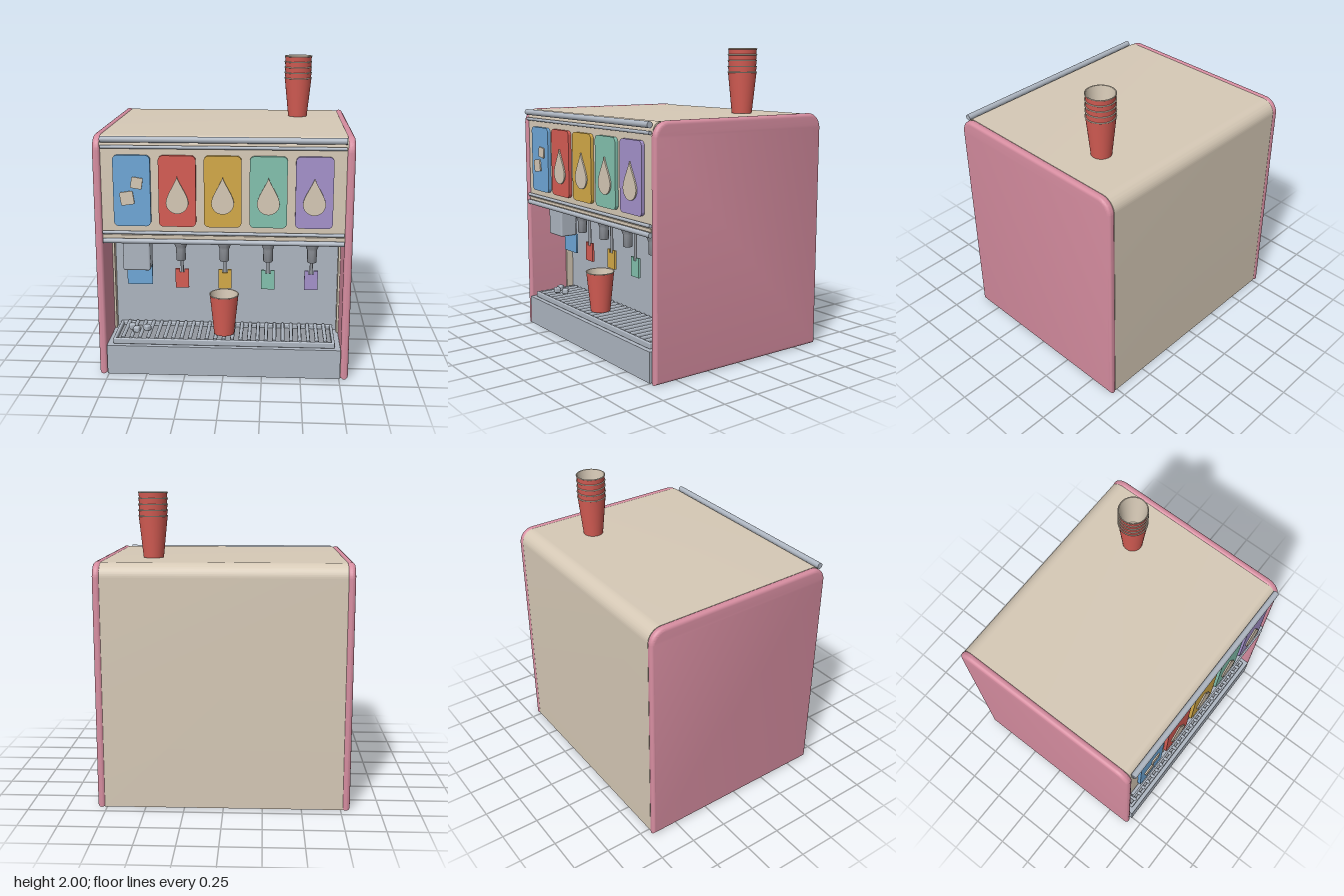
import * as THREE from 'three';
import { toCreasedNormals } from 'three/addons/utils/BufferGeometryUtils.js';
import { RoundedBoxGeometry } from 'three/addons/geometries/RoundedBoxGeometry.js';

const mat = (name, color, side = THREE.FrontSide) => {
  const m = new THREE.MeshStandardMaterial({ color, side });
  m.name = name;
  return m;
};

export function createModel() {
  const root = new THREE.Group();
  root.name = 'drinkDispenser';

  const cream = mat('cream', 0xd6c9b6, THREE.DoubleSide);
  const pink = mat('pink', 0xd58c9f);
  const steel = mat('steel', 0xaeb6c1);
  const darkSteel = mat('darkSteel', 0x94989f);
  const blue = mat('blue', 0x6fa8d8);
  const red = mat('red', 0xd65d54);
  const yellow = mat('yellow', 0xd4aa48);
  const teal = mat('teal', 0x84c2af);
  const purple = mat('purple', 0xa592cc);
  const flavours = [blue, red, yellow, teal, purple];

  const add = (name, geo, material, x = 0, y = 0, z = 0, parent = root) => {
    const mesh = new THREE.Mesh(geo, material);
    mesh.name = name;
    mesh.position.set(x, y, z);
    parent.add(mesh);
    return mesh;
  };
  const box = (w, h, d) => new THREE.BoxGeometry(w, h, d);

  // rounded rectangle from corner (x0, y0) to (x1, y1), with bottom and top radii
  const roundRect = (x0, y0, x1, y1, rb, rt) => {
    const s = new THREE.Shape();
    s.moveTo(x0 + rb, y0).lineTo(x1 - rb, y0);
    if (rb) s.absarc(x1 - rb, y0 + rb, rb, -Math.PI / 2, 0);
    s.lineTo(x1, y1 - rt).absarc(x1 - rt, y1 - rt, rt, 0, Math.PI / 2);
    s.lineTo(x0 + rt, y1).absarc(x0 + rt, y1 - rt, rt, Math.PI / 2, Math.PI);
    s.lineTo(x0, y0 + rb);
    if (rb) s.absarc(x0 + rb, y0 + rb, rb, Math.PI, Math.PI * 1.5);
    return s;
  };
  const plate = (shape, depth, bevel = 0) => toCreasedNormals(new THREE.ExtrudeGeometry(shape, {
    depth, curveSegments: 12, bevelEnabled: bevel > 0, bevelThickness: bevel, bevelSize: bevel, bevelSegments: 5,
  }), 0.6);
  // profile drawn in (z, y), extruded across x and centred
  const across = (shape, depth, bevel) =>
    plate(shape, depth, bevel).translate(0, 0, -depth / 2).rotateY(-Math.PI / 2);

  // body with the serving recess cut into the front
  const profile = new THREE.Shape();
  profile.moveTo(-0.68, 0.002).lineTo(0.65, 0.002).lineTo(0.65, 0.195).lineTo(0.31, 0.195)
    .lineTo(0.31, 0.9).lineTo(0.65, 0.9).lineTo(0.65, 1.515);
  profile.absarc(0.59, 1.515, 0.06, 0, Math.PI / 2);
  profile.lineTo(-0.59, 1.575).absarc(-0.59, 1.485, 0.09, Math.PI / 2, Math.PI);
  add('body', across(profile, 1.53, 0), cream);

  // side panels with fully rounded edges
  const panelShape = roundRect(-0.661, 0.024, 0.641, 1.556, 0, 0.076);
  for (const s of [-1, 1]) {
    add('sidePanel', across(panelShape, 0.004, 0.024), pink, s * 0.784);
    add('recessLiner', box(0.014, 0.7, 0.06), cream, s * 0.752, 0.55, 0.34);
  }

  // steel lining and front base
  add('recessBack', box(1.49, 0.7, 0.01), steel, 0, 0.55, 0.314);
  add('base', box(1.512, 0.197, 0.36), steel, 0, 0.1035, 0.492);

  // horizontal trim rails: y, z, radius
  for (const [y, z, r] of [[1.558, 0.665, 0.02], [1.51, 0.662, 0.011], [0.965, 0.662, 0.011], [0.91, 0.662, 0.016]]) {
    add('trimRail', new THREE.CylinderGeometry(r, r, 1.512, 16).rotateZ(Math.PI / 2), steel, 0, y, z);
  }
  add('trimStrip', box(1.512, 0.02, 0.012), cream, 0, 0.938, 0.652);

  // drip tray: frame and slats
  const tray = new THREE.Group();
  tray.name = 'dripTray';
  root.add(tray);
  add('trayFloor', box(1.42, 0.012, 0.3), darkSteel, 0, 0.208, 0.485, tray);
  for (const s of [-1, 1]) {
    add('trayRim', new RoundedBoxGeometry(1.44, 0.04, 0.02, 2, 0.008), steel, 0, 0.222, 0.485 + s * 0.15, tray);
    add('trayEnd', new RoundedBoxGeometry(0.02, 0.04, 0.31, 2, 0.008), steel, s * 0.71, 0.222, 0.485, tray);
  }
  const slat = new THREE.CylinderGeometry(0.013, 0.013, 0.3, 8).rotateX(Math.PI / 2);
  for (let i = 0; i < 25; i++) add('traySlat', slat, steel, -0.66 + i * 0.055, 0.238, 0.485, tray);

  // flavour cards with raised icons
  const card = plate(roundRect(-0.116, -0.225, 0.116, 0.225, 0.03, 0.03), 0.026);
  const drop = new THREE.Shape();
  drop.moveTo(0, 0.165);
  drop.bezierCurveTo(-0.012, 0.12, -0.07, 0.045, -0.07, 0);
  drop.absarc(0, 0, 0.07, Math.PI, Math.PI * 2);
  drop.bezierCurveTo(0.07, 0.045, 0.012, 0.12, 0, 0.165);
  const dropGeo = plate(drop, 0.009);
  const cubeGeo = plate(roundRect(-0.042, -0.042, 0.042, 0.042, 0.01, 0.01), 0.009);

  // paddle outline with a notch for the rod
  const paddle = new THREE.Shape();
  paddle.moveTo(-0.044, 0).lineTo(0.044, 0).lineTo(0.044, 0.13).lineTo(0.016, 0.13).lineTo(0.016, 0.108)
    .lineTo(-0.016, 0.108).lineTo(-0.016, 0.13).lineTo(-0.044, 0.13);
  const paddleGeo = plate(paddle, 0.014);
  const nozzleGeo = toCreasedNormals(new THREE.LatheGeometry([[0, 0.74], [0.028, 0.74], [0.031, 0.745],
    [0.031, 0.82], [0.038, 0.84], [0.051, 0.87], [0.053, 0.902]].map(p => new THREE.Vector2(...p)), 24), 0.6);

  flavours.forEach((colour, i) => {
    const x = (i - 2) * 0.2825;
    add('flavourCard', card, colour, x, 1.235, 0.646);
    if (i === 0) {
      // ice chute with push plate, and ice icon
      add('iceIcon', cubeGeo, cream, x - 0.03, 1.19, 0.672).rotation.z = 0.15;
      const small = add('iceIcon', cubeGeo, cream, x + 0.032, 1.287, 0.672);
      small.rotation.z = -0.15;
      small.scale.set(0.84, 0.84, 1);
      add('iceChute', new RoundedBoxGeometry(0.176, 0.23, 0.125, 3, 0.012), steel, x, 0.795, 0.5);
      add('icePlateMount', box(0.14, 0.25, 0.012), darkSteel, x, 0.78, 0.432);
      add('icePlate', plate(roundRect(-0.084, 0, 0.084, 0.14, 0.006, 0.006), 0.014), colour, x, 0.545, 0.425);
    } else {
      add('dropIcon', dropGeo, cream, x, 1.165, 0.672);
      add('nozzle', nozzleGeo, darkSteel, x, 0, 0.505);
      add('leverRod', new THREE.CylinderGeometry(0.01, 0.01, 0.26, 12), darkSteel, x, 0.77, 0.445);
      add('leverPaddle', paddleGeo, colour, x, 0.53, 0.438);
    }
  });

  // cups: tapered red shell, cream inside and rim
  const shell = new THREE.CylinderGeometry(0.094, 0.066, 0.27, 32, 1, true).translate(0, 0.135, 0);
  const inside = toCreasedNormals(new THREE.LatheGeometry([[0, 0.008], [0.063, 0.008], [0.09, 0.27]]
    .map(p => new THREE.Vector2(...p)), 32), 0.6);
  const rim = new THREE.TorusGeometry(0.093, 0.004, 8, 32).rotateX(Math.PI / 2);
  const cup = (x, y, z) => {
    const g = new THREE.Group();
    g.name = 'cup';
    g.position.set(x, y, z);
    add('cupShell', shell, red, 0, 0, 0, g);
    add('cupInside', inside, cream, 0, 0, 0, g);
    add('cupRim', rim, cream, 0, 0.268, 0, g);
    root.add(g);
  };
  cup(0, 0.255, 0.54);
  for (let i = 0; i < 5; i++) cup(0.472, 1.577 + i * 0.0378, -0.285);

  // loose ice on the tray
  const ice = new RoundedBoxGeometry(0.042, 0.038, 0.042, 3, 0.01);
  [[-0.615, 0.5], [-0.578, 0.55], [-0.512, 0.52]].forEach(([x, z], i) => {
    add('iceCube', ice, steel, x, 0.27, z).rotation.y = 0.4 + i;
  });

  return root;
}
